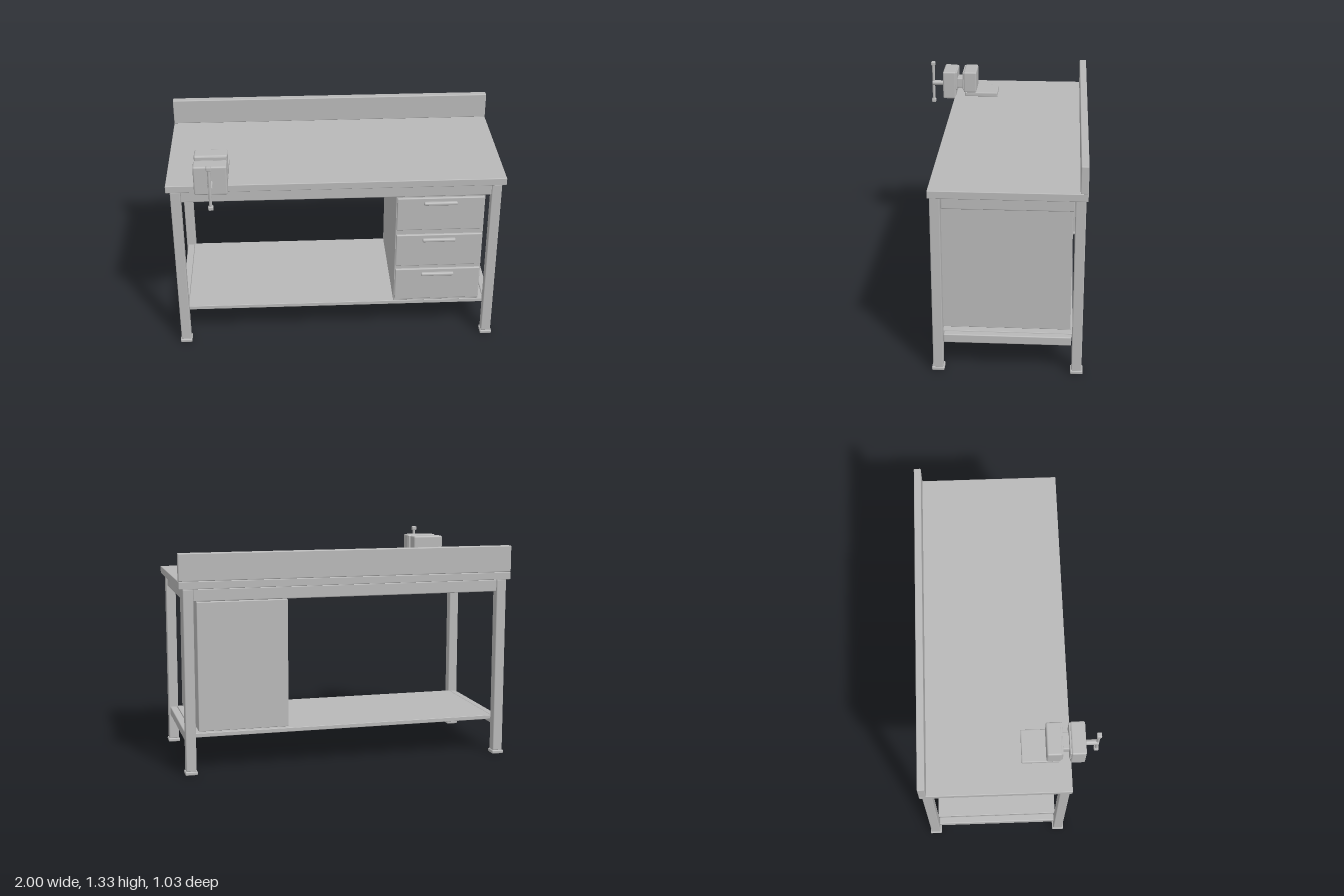
import * as THREE from 'three';
import { RoundedBoxGeometry } from 'three/addons/geometries/RoundedBoxGeometry.js';

const grey = new THREE.MeshStandardMaterial({ color: 0xb8b8b8 });
grey.name = 'workshop grey';

// Softly edged box given by its extents on each axis
function box(parent, name, [x0, x1], [y0, y1], [z0, z1], radius = 0.006) {
  const size = [x1 - x0, y1 - y0, z1 - z0];
  const r = Math.min(radius, Math.min(...size) * 0.45);
  const mesh = new THREE.Mesh(new RoundedBoxGeometry(...size, 2, r), grey);
  mesh.name = name;
  mesh.position.set((x0 + x1) / 2, (y0 + y1) / 2, (z0 + z1) / 2);
  parent.add(mesh);
  return mesh;
}

function rod(parent, name, radius, length, x, y, z) {
  const mesh = new THREE.Mesh(new THREE.CylinderGeometry(radius, radius, length, 20), grey);
  mesh.name = name;
  mesh.position.set(x, y, z);
  parent.add(mesh);
  return mesh;
}

function group(parent, name) {
  const g = new THREE.Group();
  g.name = name;
  parent.add(g);
  return g;
}

const around = (c, half) => [c - half, c + half];

export function createModel() {
  const bench = new THREE.Group();
  bench.name = 'workbench';

  // Worktop and upstand
  box(bench, 'worktop', [-1, 1], [1.08, 1.125], [-0.516, 0.353], 0.004);
  box(bench, 'backBoard', [-1, 1], [1.125, 1.283], [-0.516, -0.473], 0.005);

  // Frame: legs, feet and rails
  const frame = group(bench, 'frame');
  const legX = 0.946, legZ = [0.315, -0.477];
  for (const z of legZ) {
    for (const x of [-legX, legX]) {
      box(frame, 'leg', around(x, 0.03), [0.02, 1.08], around(z, 0.029));
      box(frame, 'foot', around(x, 0.036), [0, 0.022], around(z, 0.036));
    }
    box(frame, 'longRail', [-0.917, 0.917], [1.007, 1.08], around(z, 0.022));
  }
  for (const x of [-legX, legX]) {
    box(frame, 'upperSideRail', around(x, 0.022), [1.007, 1.075], [-0.444, 0.282]);
    box(frame, 'lowerSideRail', around(x, 0.022), [0.178, 0.231], [-0.444, 0.282]);
  }
  box(bench, 'lowerShelf', [-0.922, 0.922], [0.207, 0.232], [-0.45, 0.29], 0.003);

  // Drawer cabinet
  const cabinet = group(bench, 'drawerCabinet');
  box(cabinet, 'cabinetBody', [0.356, 0.89], [0.238, 0.996], [-0.438, 0.297], 0.004);
  for (const y of [0.257, 0.503, 0.759]) {
    box(cabinet, 'drawerFront', [0.362, 0.885], [y, y + 0.221], [0.29, 0.311]);
    box(cabinet, 'drawerHandle', [0.52, 0.722], [y + 0.178, y + 0.2], [0.308, 0.332], 0.009);
  }

  // Bench vise
  const vise = group(bench, 'vise');
  const vx = -0.73, wide = around(vx, 0.097);
  box(vise, 'visePlate', wide, [1.125, 1.152], [0.07, 0.286]);
  box(vise, 'rearJaw', wide, [1.15, 1.289], [0.21, 0.295], 0.01);
  box(vise, 'frontJaw', wide, [1.106, 1.289], [0.347, 0.432], 0.01);
  box(vise, 'rearJawFace', around(vx, 0.092), [1.17, 1.284], [0.29, 0.302], 0.003);
  box(vise, 'frontJawFace', around(vx, 0.092), [1.17, 1.284], [0.339, 0.35], 0.003);
  box(vise, 'slide', around(vx, 0.05), [1.17, 1.233], [0.25, 0.39]);
  rod(vise, 'screw', 0.016, 0.09, vx, 1.186, 0.465).rotation.x = Math.PI / 2;
  rod(vise, 'handleBar', 0.009, 0.26, vx, 1.191, 0.504);
  for (const y of [1.064, 1.319]) {
    box(vise, 'handleKnob', around(vx, 0.015), around(y, 0.013), around(0.504, 0.014), 0.006);
  }

  return bench;
}
